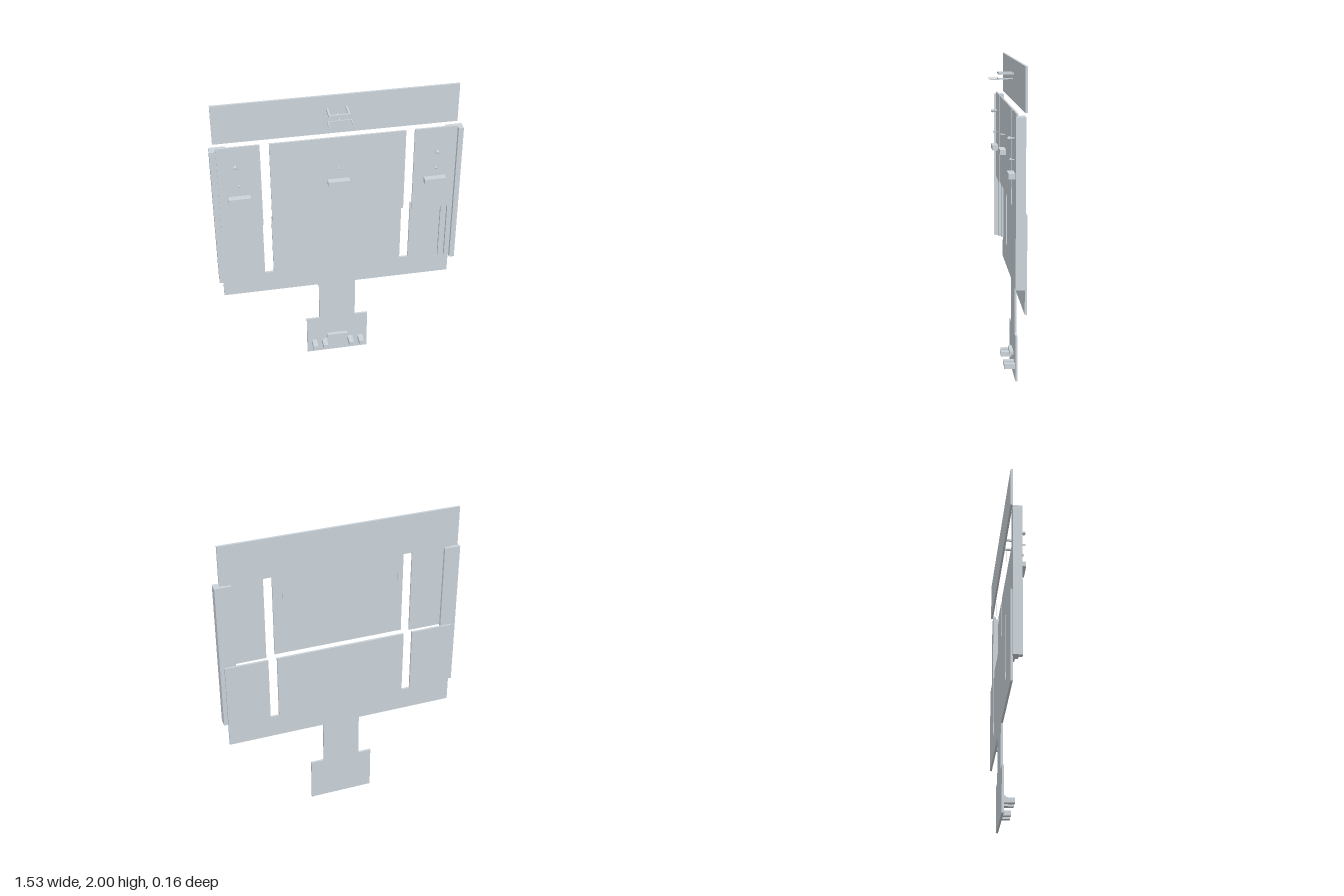
import * as THREE from 'three';

export function createModel() {
  const model = new THREE.Group();
  const grey = new THREE.MeshStandardMaterial({ color: 0xcbd4da });
  grey.name = 'pale blue grey';

  const add = (name, geometry, parent = model) => {
    const mesh = new THREE.Mesh(geometry, grey);
    mesh.name = name;
    parent.add(mesh);
    return mesh;
  };
  // Box given by its limits on each axis
  const box = (name, x0, x1, y0, y1, z0, z1, parent) => {
    const mesh = add(name, new THREE.BoxGeometry(x1 - x0, y1 - y0, z1 - z0), parent);
    mesh.position.set((x0 + x1) / 2, (y0 + y1) / 2, (z0 + z1) / 2);
  };
  const shapeOf = (points) => new THREE.Shape(points.map(([x, y]) => new THREE.Vector2(x, y)));
  const BACK = -0.081, FACE = -0.068;

  // Upper back plate
  box('upperPlate', -0.74, 0.738, 1.744, 2, BACK, FACE);

  // Lower back plate with two open slots, a neck and a foot
  const half = [[0.205, 0], [0.205, 0.293], [0.12, 0.293], [0.12, 0.59], [0.739, 0.59],
    [0.739, 1.17], [0.468, 1.17], [0.468, 0.739], [0.412, 0.739], [0.412, 1.17]];
  const outline = [...half, ...half.map(([x, y]) => [-x, y]).reverse()];
  add('lowerPlate', new THREE.ExtrudeGeometry(shapeOf(outline),
    { depth: FACE - BACK, bevelEnabled: false })).position.z = BACK;

  // Sliding panels
  box('centrePanel', -0.412, 0.412, 1.171, 1.74, -0.031, -0.02);
  box('rightPanel', -0.727, -0.468, 1.157, 1.74, -0.031, -0.02);
  box('leftPanel', 0.466, 0.722, 1.157, 1.74, -0.031, -0.02);

  // Stepped side rails: each profile is x and depth behind the front
  const steps = [[0.665, 0.07], [0.765, 0.07], [0.765, 0.013], [0.733, 0.013],
    [0.733, 0.035], [0.702, 0.035], [0.702, 0.053], [0.665, 0.053]];
  for (const side of [-1, 1]) {
    const rail = add(side > 0 ? 'leftRail' : 'rightRail', new THREE.ExtrudeGeometry(
      shapeOf(steps.map(([x, d]) => [side * x, d])), { depth: 0.983, bevelEnabled: false }));
    rail.rotation.x = -Math.PI / 2;
    rail.position.y = 0.741;
  }

  // Handles
  box('rightHandle', -0.672, -0.538, 1.363, 1.394, -0.02, 0.018);
  box('centreHandle', -0.067, 0.067, 1.416, 1.448, -0.02, 0.018);
  box('leftHandle', 0.533, 0.667, 1.363, 1.394, -0.02, 0.018);

  // Round knobs on short stems
  const knob = (name, x, y, z, r) => {
    const group = new THREE.Group();
    group.name = name;
    group.position.set(x, y, 0);
    const length = z + 0.02;
    const stem = add('stem', new THREE.CylinderGeometry(r * 0.45, r * 0.45, length, 10), group);
    stem.rotation.x = Math.PI / 2;
    stem.position.z = z - length / 2;
    add('ball', new THREE.SphereGeometry(r, 16, 12), group).position.z = z;
    model.add(group);
  };
  knob('rightUpperKnob', -0.621, 1.621, 0.01, 0.012);
  knob('rightLowerKnob', -0.604, 1.482, 0.002, 0.008);
  knob('centreKnob', -0.002, 1.535, 0.002, 0.008);
  knob('leftUpperKnob', 0.603, 1.588, 0.01, 0.012);
  knob('leftLowerKnob', 0.603, 1.467, 0.002, 0.008);

  // Thin pins behind the centre panel
  for (const x of [-0.36, 0.36]) box('rearPin', x - 0.002, x + 0.002, 1.57, 1.67, -0.074, -0.07);

  // Bracket on the upper plate: upper frame and lower fork
  const bracket = new THREE.Group();
  bracket.name = 'bracket';
  model.add(bracket);
  for (const s of [-1, 1]) {
    box('frameArm', s * 0.058 - 0.006, s * 0.058 + 0.006, 1.908, 1.92, FACE, 0.012, bracket);
    box('forkProng', s * 0.07 - 0.003, s * 0.07 + 0.003, 1.876, 1.883, 0.022, 0.081, bracket);
  }
  box('frameBar', -0.065, 0.065, 1.908, 1.92, 0.012, 0.024, bracket);
  box('forkBar', -0.073, 0.073, 1.876, 1.883, 0.02, 0.026, bracket);
  box('forkStem', -0.004, 0.004, 1.876, 1.883, FACE, 0.02, bracket);

  // Foot fittings
  box('footBar', -0.068, 0.068, 0.131, 0.151, FACE, -0.045);
  for (const x of [-0.157, -0.088, 0.088, 0.157])
    box('footBlock', x - 0.016, x + 0.016, 0.072, 0.104, FACE, 0);

  return model;
}
